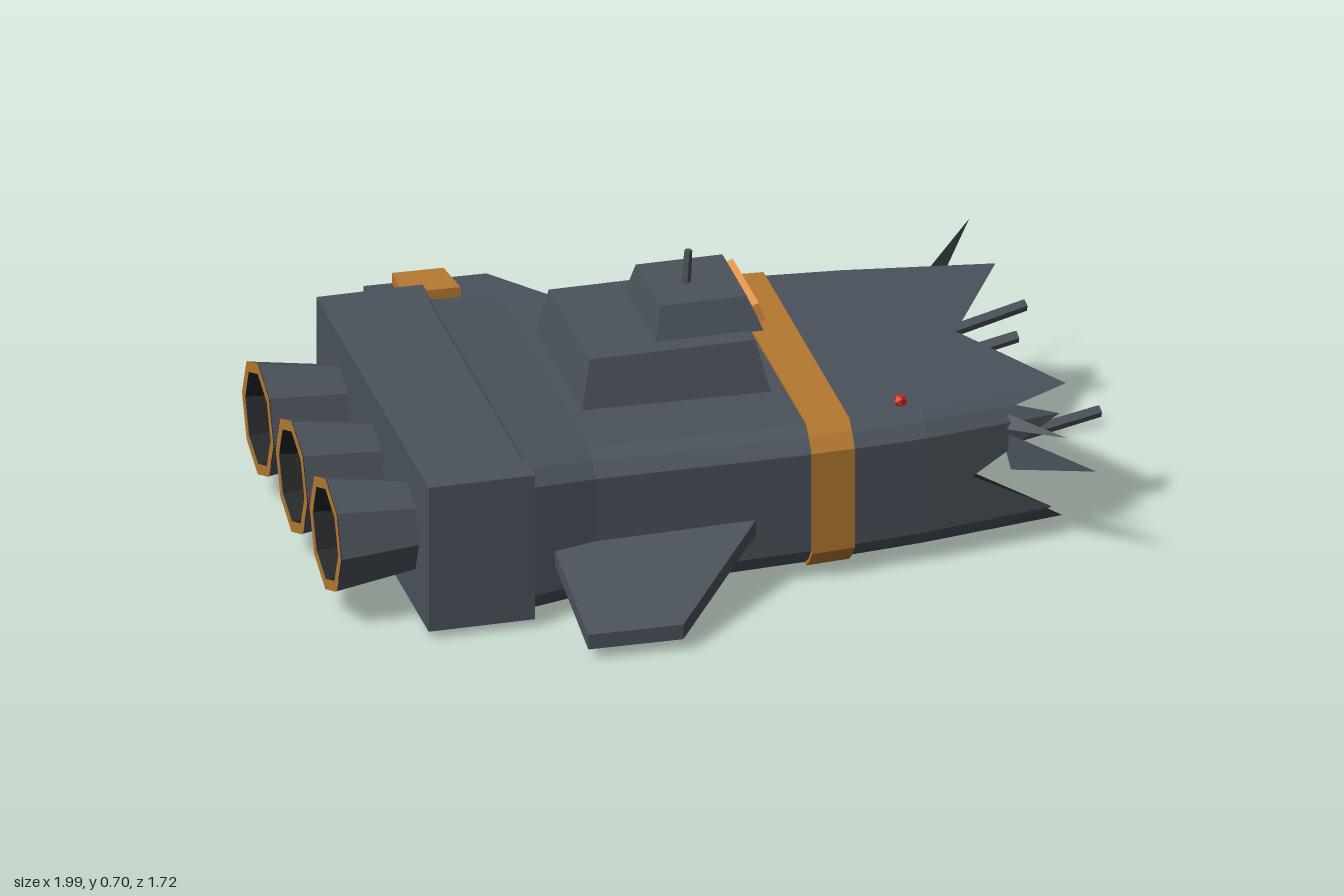
import * as THREE from 'three';
import { ConvexGeometry } from 'three/addons/geometries/ConvexGeometry.js';

const mat = (color) => new THREE.MeshStandardMaterial({ color, flatShading: true, side: THREE.DoubleSide });
const V = (x, y, z) => new THREE.Vector3(x, y, z);
const CY = 0.22, CZ = 0.105; // centre line of the ship, which runs along x

// Hull half-width and half-height along x
const STATIONS = [[-0.53, 0.5, 0.214], [-0.35, 0.475, 0.2], [0.25, 0.465, 0.188], [0.5, 0.445, 0.184], [0.88, 0.385, 0.18]];
function sizeAt(x) {
  let i = 0;
  while (i < STATIONS.length - 2 && x > STATIONS[i + 1][0]) i++;
  const [a, b] = [STATIONS[i], STATIONS[i + 1]];
  const t = (x - a[0]) / (b[0] - a[0]);
  return [a[1] + (b[1] - a[1]) * t, a[2] + (b[2] - a[2]) * t];
}

// Half cross-section (z, y) from top to bottom, and the torn edge's x on each side
const HALF = [[0, 1], [0.88, 1], [0.94, 0.88], [1, 0.7], [1, 0], [1, -0.7], [0.94, -0.88], [0.88, -1], [0, -1]];
const TORN_LEFT = [0.69, 0.88, 0.74, 0.85, 0.62, 0.83, 0.71, 0.87, 0.66];
const TORN_RIGHT = [0.69, 0.88, 0.73, 0.82, 0.64, 0.8, 0.7, 0.85, 0.66];
const PROFILE = [...HALF, ...HALF.slice(1, -1).reverse().map(([z, y]) => [-z, y])];
const TORN = [...TORN_LEFT, ...TORN_RIGHT.slice(1, -1).reverse()];

// One ring of points; xOf gives the x of each point
function ring(xOf, grow = 0) {
  return PROFILE.map(([z, y], j) => {
    const x = xOf(j), [w, h] = sizeAt(x);
    return V(x, CY + y * (h + grow), CZ + z * (w + grow));
  });
}

function facets(points) {
  const g = new THREE.BufferGeometry().setFromPoints(points);
  g.computeVertexNormals();
  return g;
}

function loft(rings) {
  const out = [];
  for (let i = 0; i + 1 < rings.length; i++) {
    const A = rings[i], B = rings[i + 1], n = A.length;
    for (let j = 0; j < n; j++) {
      const k = (j + 1) % n;
      out.push(A[j], A[k], B[k], A[j], B[k], B[j]);
    }
  }
  return facets(out);
}

function fan(r, centre) {
  return facets(r.flatMap((p, j) => [p, centre, r[(j + 1) % r.length]]));
}

// Solid with a lower and upper rectangle: [x0, x1, z0, z1, y]
function frustum(...levels) {
  return new ConvexGeometry(levels.flatMap(([x0, x1, z0, z1, y]) =>
    [V(x0, y, z0), V(x1, y, z0), V(x1, y, z1), V(x0, y, z1)]));
}

// Flat plate of even thickness around given corners
function plate(corners, t) {
  return new ConvexGeometry(corners.flatMap(([x, y, z]) => [V(x, y - t / 2, z), V(x, y + t / 2, z)]));
}

function rod(a, b, r0, r1, sides) {
  const d = b.clone().sub(a);
  const g = new THREE.CylinderGeometry(r1, r0, d.length(), sides);
  g.applyQuaternion(new THREE.Quaternion().setFromUnitVectors(V(0, 1, 0), d.clone().normalize()));
  return g.translate(...a.clone().add(b).multiplyScalar(0.5).toArray());
}

export function createModel() {
  const group = new THREE.Group();
  const hullMat = mat(0x4b525b), darkMat = mat(0x1f2023), orange = mat(0xb5792f);
  const windowMat = mat(0xe0964a), red = mat(0xc8281e);
  const add = (name, geometry, material = hullMat) => {
    const m = new THREE.Mesh(geometry, material);
    m.name = name;
    group.add(m);
    return m;
  };

  // Hull with a torn open end, and its dark interior
  const stations = STATIONS.slice(0, 4).map(([x]) => ring(() => x));
  const torn = ring((j) => TORN[j]);
  add('hull', loft([...stations, torn]));
  add('hullRearCap', fan(stations[0], V(-0.53, CY, CZ)));
  add('tornInterior', fan(torn, V(0.38, CY, CZ)), darkMat);

  // Painted band around the hull
  add('hullBand', loft([ring(() => 0.2), ring(() => 0.2, 0.007), ring(() => 0.31, 0.007), ring(() => 0.31)]), orange);

  // Engine block
  add('engineBlock', new THREE.BoxGeometry(0.27, 0.395, 1.08).translate(-0.655, 0.224, 0.1));

  // Three flared engine nozzles
  for (const z of [-0.22, 0.105, 0.43]) {
    const place = (g) => g.rotateZ(Math.PI / 2).translate(0, CY, z);
    add('nozzle', place(new THREE.CylinderGeometry(0.15, 0.115, 0.22, 8, 1, true)).translate(-0.885, 0, 0));
    add('nozzleInside', place(new THREE.CylinderGeometry(0.125, 0.095, 0.22, 8, 1, true)).translate(-0.885, 0, 0), darkMat);
    const rim = new THREE.RingGeometry(0.123, 0.152, 8).rotateY(-Math.PI / 2);
    add('nozzleRim', rim.translate(-0.997, CY, z), orange);
    add('nozzleBack', new THREE.CircleGeometry(0.11, 8).rotateY(-Math.PI / 2).translate(-0.8, CY, z), darkMat);
  }

  // Wings: one whole, one broken short and bent down
  add('rightWing', plate([[-0.56, 0.197, -0.86], [-0.25, 0.197, -0.85], [0.14, 0.205, -0.33], [-0.48, 0.205, -0.33]], 0.042));
  add('rightWingPanel', plate([[-0.49, 0.236, -0.85], [-0.36, 0.236, -0.845], [-0.345, 0.232, -0.74], [-0.49, 0.232, -0.745]], 0.028), orange);
  add('leftWing', plate([[-0.44, 0.055, 0.85], [-0.2, 0.055, 0.855], [0.08, 0.182, 0.55], [-0.46, 0.182, 0.55]], 0.04));

  // Bridge tower with window and antenna
  add('towerBase', frustum([-0.32, 0.165, -0.13, 0.325, 0.4], [-0.29, 0.13, -0.1, 0.295, 0.543]));
  add('towerTop', frustum([-0.11, 0.165, -0.05, 0.245, 0.54], [-0.09, 0.13, -0.02, 0.215, 0.625]));
  const pane = add('bridgeWindow', new THREE.BoxGeometry(0.018, 0.052, 0.25), windowMat);
  pane.position.set(0.157, 0.582, 0.105);
  pane.rotation.z = 0.35;
  add('antenna', rod(V(0.005, 0.61, 0.1), V(0.012, 0.71, 0.1), 0.013, 0.01, 6));

  // Warning lamps
  for (const [x, y, z] of [[0.455, 0.415, 0.46], [-0.57, 0.385, -0.438]])
    add('warningLamp', new THREE.IcosahedronGeometry(0.018, 0).translate(x, y, z), red);

  // Broken beams reaching out of the tear
  for (const [a, b] of [
    [[0.45, 0.25, -0.06], [0.94, 0.305, -0.18]],
    [[0.45, 0.27, 0.08], [0.865, 0.33, 0.03]],
    [[0.45, 0.21, 0.44], [0.99, 0.265, 0.35]],
  ]) add('brokenBeam', rod(V(...a), V(...b), 0.018, 0.016, 5));

  // Bent plating shards along the tear
  for (const [a, b, tip] of [
    [[0.72, 0.38, -0.28], [0.76, 0.33, -0.31], [0.86, 0.44, -0.41]],
    [[0.7, 0.32, 0.5], [0.72, 0.22, 0.52], [0.89, 0.28, 0.7]],
    [[0.7, 0.37, 0.49], [0.7, 0.33, 0.51], [0.84, 0.33, 0.6]],
  ]) add('platingShard', facets([V(...a), V(...b), V(...tip)]));

  return group;
}
